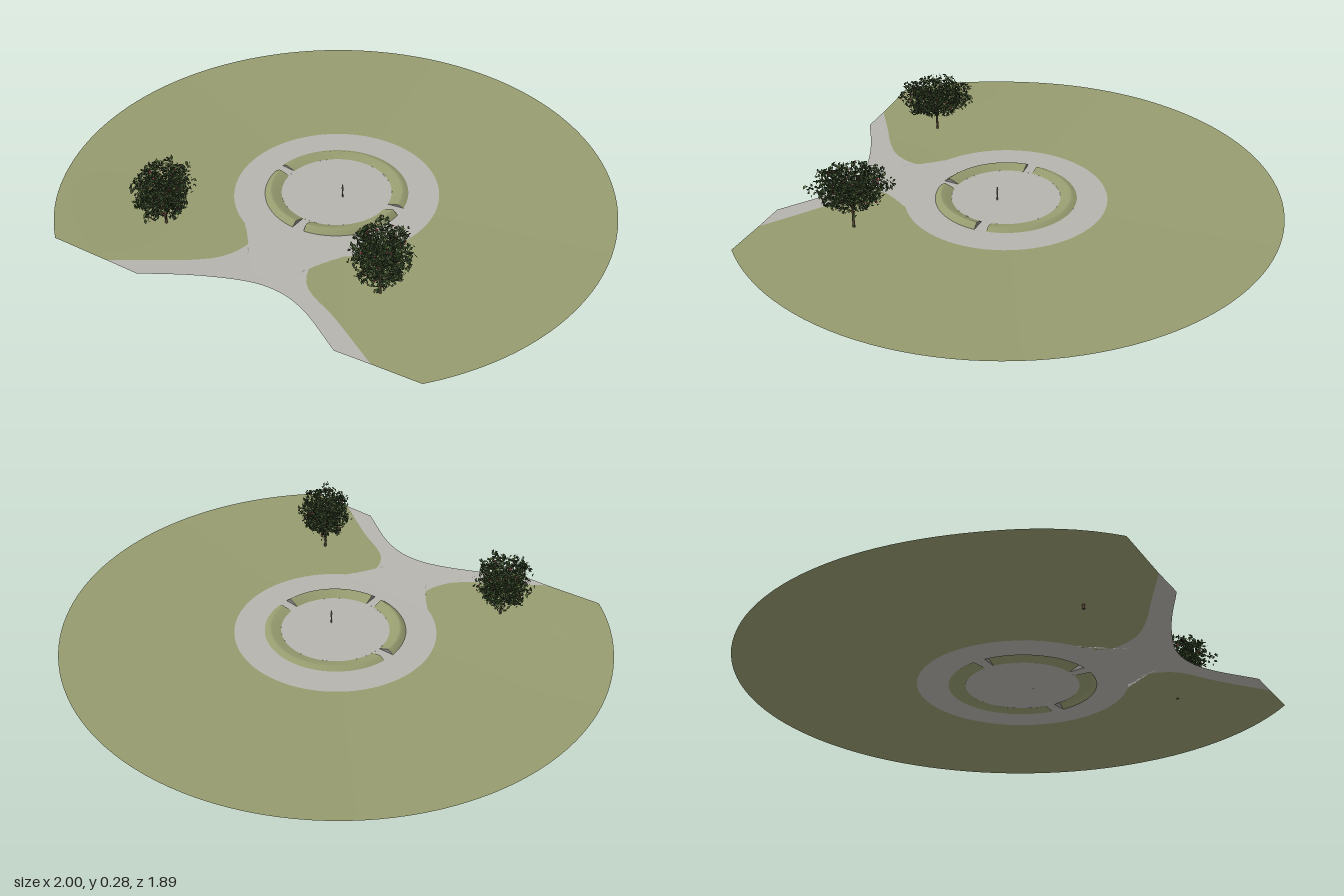
import * as THREE from 'three';

const mat = (name, color) => new THREE.MeshStandardMaterial({ name, color, side: THREE.DoubleSide });
const CZ = 0.05; // z of the plaza centre
const RAD = Math.PI / 180;

// Shallow bowl with a low mound at the front right corner
function height(x, z) {
  const r = Math.hypot(x, z - CZ);
  const mound = 0.01 * Math.exp(-((x + 0.55) ** 2 + (z - 0.85) ** 2) / 0.06);
  return 0.005 + 0.022 * Math.max(0, (r - 0.37) / 0.63) + mound;
}

const ground = (x, z, lift = 0) => new THREE.Vector3(x, height(x, z) + lift, z);

// Arc about the plaza centre; 0 degrees is +x, 90 is the front
function arc(r, a0, a1, n, lift = 0) {
  return Array.from({ length: n + 1 }, (_, i) => {
    const a = (a0 + (a1 - a0) * i / n) * RAD;
    return ground(r * Math.cos(a), CZ + r * Math.sin(a), lift);
  });
}

// Smooth ground curve through [x, z] points
function curve(pts, n) {
  const c = new THREE.CatmullRomCurve3(pts.map(([x, z]) => new THREE.Vector3(x, 0, z)), false, 'centripetal');
  return c.getSpacedPoints(n).map(p => ground(p.x, p.z));
}

// Surface stretched over rows with equal numbers of points
function sheet(name, rows, material) {
  const n = rows[0].length, index = [];
  for (let j = 0; j < rows.length - 1; j++) {
    for (let i = 0; i < n - 1; i++) {
      const a = j * n + i, b = a + n;
      index.push(a, a + 1, b, a + 1, b + 1, b);
    }
  }
  const g = new THREE.BufferGeometry().setFromPoints(rows.flat());
  g.setIndex(index);
  g.computeVertexNormals();
  const m = new THREE.Mesh(g, material);
  m.name = name;
  return m;
}

// Rows of ground between two edge curves
function between(a, b, steps) {
  return Array.from({ length: steps + 1 }, (_, j) => a.map((p, i) => {
    const q = p.clone().lerp(b[i], j / steps);
    return ground(q.x, q.z);
  }));
}

function seeded(seed) {
  return () => {
    seed = (seed * 1664525 + 1013904223) % 4294967296;
    return seed / 4294967296;
  };
}

// Small randomly turned leaves filling a lobed crown
function leafCloud(name, count, size, crown, rand, material) {
  const pos = [], p = new THREE.Vector3(), u = new THREE.Vector3(), v = new THREE.Vector3();
  const dir = t => t.set(rand() - 0.5, rand() - 0.5, rand() - 0.5).normalize();
  for (let i = 0; i < count; i++) {
    dir(p);
    const lobes = 0.9 + 0.16 * Math.sin(p.x * 6 + crown.seed) * Math.cos(p.z * 7 + p.y * 5);
    const r = Math.pow(rand(), 0.45) * lobes;
    const taper = 0.92 + 0.12 * p.y;
    const l = p.x * r * crown.long * taper, s = p.z * r * crown.short * taper;
    // The crown's long axis runs diagonally
    p.set((l - s) * Math.SQRT1_2, p.y * r * crown.tall + crown.y, (l + s) * Math.SQRT1_2);
    dir(u);
    dir(v).cross(u).normalize();
    const k = size * (0.7 + 0.6 * rand());
    const c = [[k, 0], [0, k * 0.55], [-k, 0], [0, -k * 0.55]]
      .map(([a, b]) => p.clone().addScaledVector(u, a).addScaledVector(v, b));
    for (const q of [0, 1, 2, 0, 2, 3]) pos.push(c[q].x, c[q].y, c[q].z);
  }
  const g = new THREE.BufferGeometry();
  g.setAttribute('position', new THREE.Float32BufferAttribute(pos, 3));
  g.computeVertexNormals();
  const m = new THREE.Mesh(g, material);
  m.name = name;
  return m;
}

function limb(name, from, to, r0, r1, material) {
  const d = to.clone().sub(from);
  const m = new THREE.Mesh(new THREE.CylinderGeometry(r1, r0, d.length(), 7), material);
  m.position.copy(from).addScaledVector(d, 0.5);
  m.quaternion.setFromUnitVectors(new THREE.Vector3(0, 1, 0), d.normalize());
  m.name = name;
  return m;
}

function tree(name, x, z, crown, M) {
  const g = new THREE.Group(), rand = seeded(crown.seed * 977);
  g.name = name;
  const fork = new THREE.Vector3(0, 0.085, 0);
  g.add(limb('trunk', new THREE.Vector3(0, crown.root, 0), fork, 0.005, 0.0038, M.bark));
  for (let i = 0; i < 6; i++) {
    const a = i * 60 * RAD + crown.seed;
    const tip = new THREE.Vector3(0.06 * Math.cos(a), crown.y + 0.03 * (i % 2), 0.06 * Math.sin(a));
    g.add(limb('branch', fork, tip, 0.003, 0.001, M.bark));
  }
  g.add(leafCloud('darkLeaves', 1800, 0.008, crown, rand, M.leaf));
  g.add(leafCloud('lightLeaves', 700, 0.008, crown, rand, M.lightLeaf));
  g.add(leafCloud('blossoms', 90, 0.0065, crown, rand, M.blossom));
  g.position.set(x, 0, z);
  return g;
}

export function createModel() {
  const model = new THREE.Group();
  const M = {
    grass: mat('grass', 0x969b6f),
    paving: mat('paving', 0xb6b4ae),
    wall: mat('wallStone', 0x858482),
    bark: mat('bark', 0x594c3a),
    leaf: mat('darkLeaf', 0x34452a),
    lightLeaf: mat('lightLeaf', 0x53683a),
    blossom: mat('blossom', 0x9a3a48),
    statue: mat('statueStone', 0x8c8a86),
  };

  // Lawn edges along the approach path
  const left = curve([[-0.25, 0.877], [-0.155, 0.77], [-0.05, 0.655], [-0.005, 0.58],
    [0.003, 0.48], [-0.03, 0.43], [-0.1, 0.406]], 18);
  const right = curve([[0.28, 0.292], [0.24, 0.34], [0.235, 0.4], [0.3, 0.485],
    [0.485, 0.535], [0.7, 0.602]], 18);

  // Lawn stretched from the paving edge to the round rim
  const inner = [...left, ...arc(0.37, 107, 399, 72), ...right];
  const outer = [...arc(1, 117.4, 163, 18), ...arc(1, 165, 370, 72), ...arc(1, 372, 390.4, 18)];
  model.add(sheet('lawn', between(inner, outer, 10), M.grass));

  // Forked approach path, cut off along the front
  const front = curve([[-0.13, 0.845], [0, 0.72], [0.13, 0.622], [0.2, 0.587], [0.28, 0.57],
    [0.38, 0.577], [0.58, 0.638]], 35);
  const cut = [left[0], ...front, right[18]];
  model.add(sheet('approachPath', between([...left, ...right], cut, 6), M.paving));

  // Round plaza and its surrounding walk
  model.add(sheet('plaza', [arc(0, 0, 360, 72), arc(0.2, 0, 360, 72)], M.paving));
  model.add(sheet('ringWalk', [arc(0.26, 0, 360, 72), arc(0.372, 0, 360, 72)], M.paving));

  // Grass bank in three arcs, the rear one lower, with paved gaps and stone end walls
  const profile = [[0.2, 0], [0.217, 0.007], [0.235, 0.014], [0.241, 0.014], [0.25, 0.008], [0.26, 0]];
  for (const [a0, a1, next, scale] of [[-11, 71, 81, 1.2], [81, 163, 173, 1], [173, 339, 349, 0.65]]) {
    const n = Math.round((a1 - a0) / 3);
    model.add(sheet('grassBank', profile.map(([r, h]) => arc(r, a0, a1, n, h * scale)), M.grass));
    model.add(sheet('gapPaving', [arc(0.2, a1, next, 4), arc(0.26, a1, next, 4)], M.paving));
    for (const a of [a0, a1]) {
      const edge = lift => profile.map(([r, h]) => arc(r, a, a, 1, h * lift)[0]);
      model.add(sheet('bankEnd', [edge(0), edge(scale)], M.wall));
    }
  }

  // Small standing statue
  const statue = new THREE.Group();
  statue.name = 'statue';
  const body = new THREE.Mesh(new THREE.LatheGeometry(
    [[0, 0], [0.003, 0], [0.0022, 0.015], [0.0026, 0.028], [0.0035, 0.042], [0.0015, 0.047], [0, 0.047]]
      .map(([r, y]) => new THREE.Vector2(r, y)), 12), M.statue);
  body.name = 'body';
  const head = new THREE.Mesh(new THREE.SphereGeometry(0.0028, 10, 8), M.statue);
  head.name = 'head';
  head.position.y = 0.05;
  statue.add(body, head);
  statue.position.set(0.04, 0.005, 0.06);
  model.add(statue);

  // Two blossoming trees; root is the height of the trunk's foot
  model.add(tree('rightTree', -0.28, 0.607,
    { seed: 3, root: 0, y: 0.157, long: 0.172, short: 0.125, tall: 0.086 }, M));
  model.add(tree('leftTree', 0.495, 0.345,
    { seed: 8, root: 0.01, y: 0.17, long: 0.165, short: 0.12, tall: 0.1 }, M));
  return model;
}
